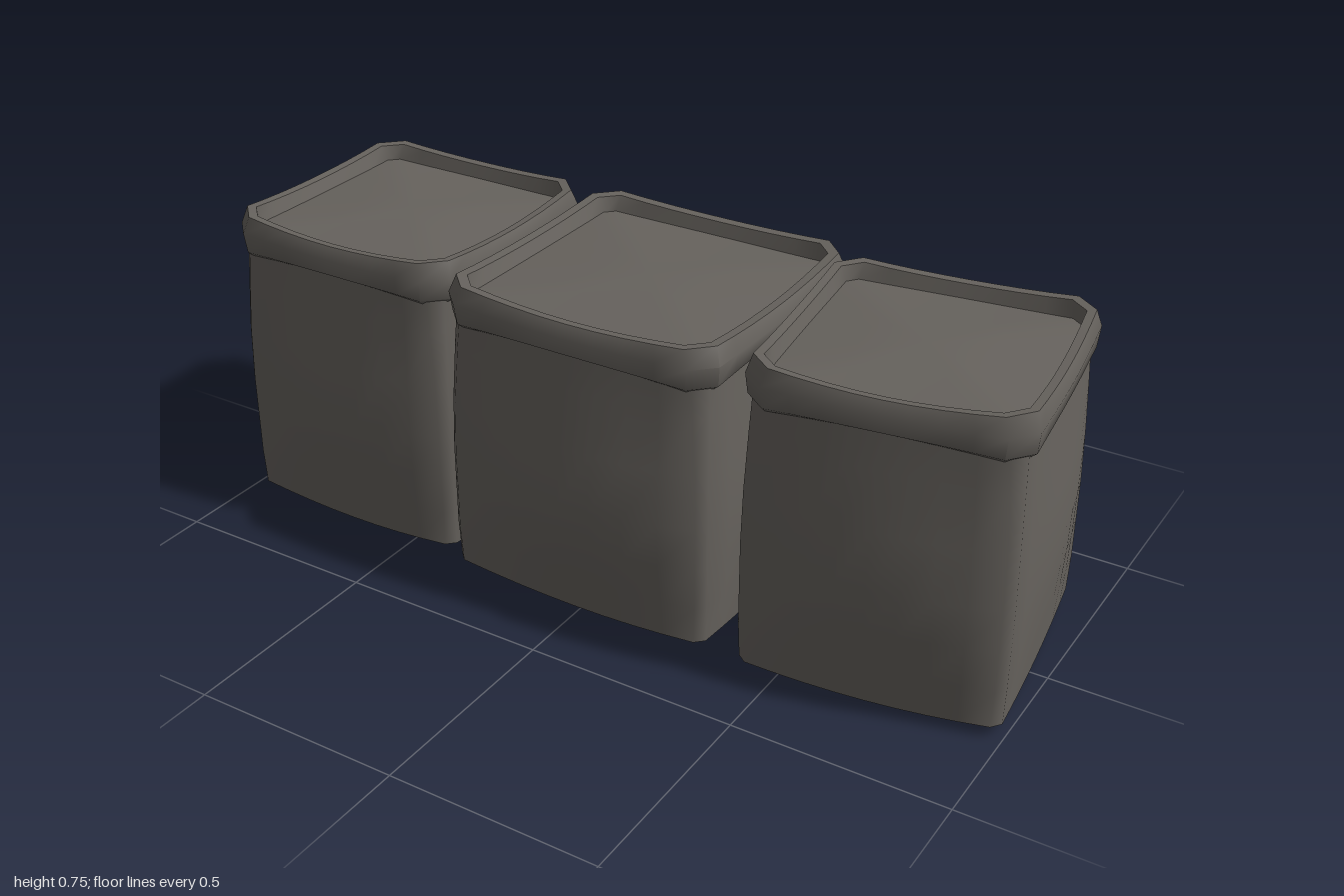
import * as THREE from 'three';
import { toCreasedNormals } from 'three/addons/utils/BufferGeometryUtils.js';

const SIDE = 9; // points along each side of a cross-section

// Square cross-section with cut corners and bowed sides.
// ring: { y, s, cut, bow, dip } : height, scale, corner cut, outward bow, sag at mid-side
function ringPoints(ring, hx, hz, shift) {
  const { y, s, cut = 0.03, bow = 0, dip = 0 } = ring;
  const points = [];
  for (let k = 0; k < 4; k++) {
    const along = (k % 2 ? hz : hx) * s;
    const out = (k % 2 ? hx : hz) * s;
    const bulge = bow * (k % 2 ? 0.45 : 1);
    for (let i = 0; i < SIDE; i++) {
      const u = (i / (SIDE - 1)) * 2 - 1;
      const swell = Math.cos((u - shift * (k === 2 ? -1 : 1) * (1 - u * u)) * Math.PI / 2);
      const a = u * (along - (s ? cut : 0));
      const d = out + bulge * swell;
      const h = y - dip * (1 - u * u);
      // front, left, back, right
      points.push(k === 0 ? [a, h, d] : k === 1 ? [d, h, -a] : k === 2 ? [-a, h, -d] : [-d, h, a]);
    }
  }
  return points;
}

// Skin a list of cross-sections; a scale of 0 closes to a point
function loft(rings, hx, hz, shift, crease) {
  const n = SIDE * 4;
  const position = rings.flatMap((r) => ringPoints(r, hx, hz, shift)).flat();
  const index = [];
  for (let i = 0; i < rings.length - 1; i++) {
    for (let j = 0; j < n; j++) {
      const a = i * n + j, b = i * n + (j + 1) % n;
      if (rings[i].s) index.push(a, b, b + n);
      if (rings[i + 1].s) index.push(a, b + n, a + n);
      else if (rings[i].s) index[index.length - 1] = a + n;
    }
  }
  const geometry = new THREE.BufferGeometry();
  geometry.setAttribute('position', new THREE.Float32BufferAttribute(position, 3));
  geometry.setIndex(index);
  return toCreasedNormals(geometry, crease);
}

export function createModel() {
  const model = new THREE.Group();
  model.name = 'sackRow';
  const cloth = new THREE.MeshStandardMaterial({ color: 0x66625d, side: THREE.DoubleSide });
  cloth.name = 'dark cloth';

  // position, turn, half sizes and side bulge of each sack
  const sacks = [
    { name: 'rightSack', x: -0.675, turn: 0, hx: 0.3, hz: 0.295, bow: 0.04, shift: 0.15, top: 0.75 },
    { name: 'middleSack', x: -0.008, turn: 0, hx: 0.335, hz: 0.325, bow: 0.06, shift: 0.15, top: 0.74 },
    { name: 'leftSack', x: 0.665, turn: 0.13, hx: 0.295, hz: 0.295, bow: 0.04, shift: 0.1, top: 0.75 },
  ];

  for (const { name, x, turn, hx, hz, bow, shift, top } of sacks) {
    const sack = new THREE.Group();
    sack.name = name;

    // Bulging body with a slightly sagging base
    const body = new THREE.Mesh(loft([
      { y: 0.004, s: 0 },
      { y: 0.03, s: 0.99, cut: 0.02, bow: 0.004, dip: 0.014 },
      { y: 0.12, s: 1, cut: 0.02, bow: bow * 0.45 },
      { y: 0.22, s: 1, cut: 0.02, bow: bow * 0.85 },
      { y: 0.32, s: 1, cut: 0.02, bow },
      { y: 0.45, s: 0.99, cut: 0.02, bow: bow * 0.75 },
      { y: 0.58, s: 0.975, cut: 0.025, bow: bow * 0.4 },
      { y: 0.69, s: 0.96, cut: 0.03, bow: bow * 0.2 },
    ], hx, hz, shift, 0.85), cloth);
    body.name = 'body';

    // Rolled collar around the mouth
    const collar = new THREE.Mesh(loft([
      { y: top - 0.1, s: 0.965, cut: 0.04, bow: 0.01, dip: -0.012 },
      { y: top - 0.088, s: 1.01, cut: 0.05, bow: 0.014, dip: -0.01 },
      { y: top - 0.04, s: 1.025, cut: 0.05, bow: 0.014 },
      { y: top, s: 0.985, cut: 0.05, bow: 0.01, dip: 0.012 },
      { y: top - 0.002, s: 0.92, cut: 0.04, bow: 0.01, dip: 0.012 },
      { y: top - 0.045, s: 0.88, cut: 0.02, bow: 0.01, dip: 0.005 },
    ], hx, hz, 0, 0.9), cloth);
    collar.name = 'collar';

    // Contents, slightly mounded below the collar
    const fill = new THREE.Mesh(loft([
      { y: top - 0.04, s: 0.89, cut: 0.02, bow: 0.01, dip: 0.005 },
      { y: top - 0.034, s: 0.45, cut: 0.02 },
      { y: top - 0.025, s: 0 },
    ], hx, hz, 0, 0.9), cloth);
    fill.name = 'contents';

    sack.add(body, collar, fill);
    sack.position.x = x;
    sack.rotation.y = turn;
    model.add(sack);
  }
  return model;
}
